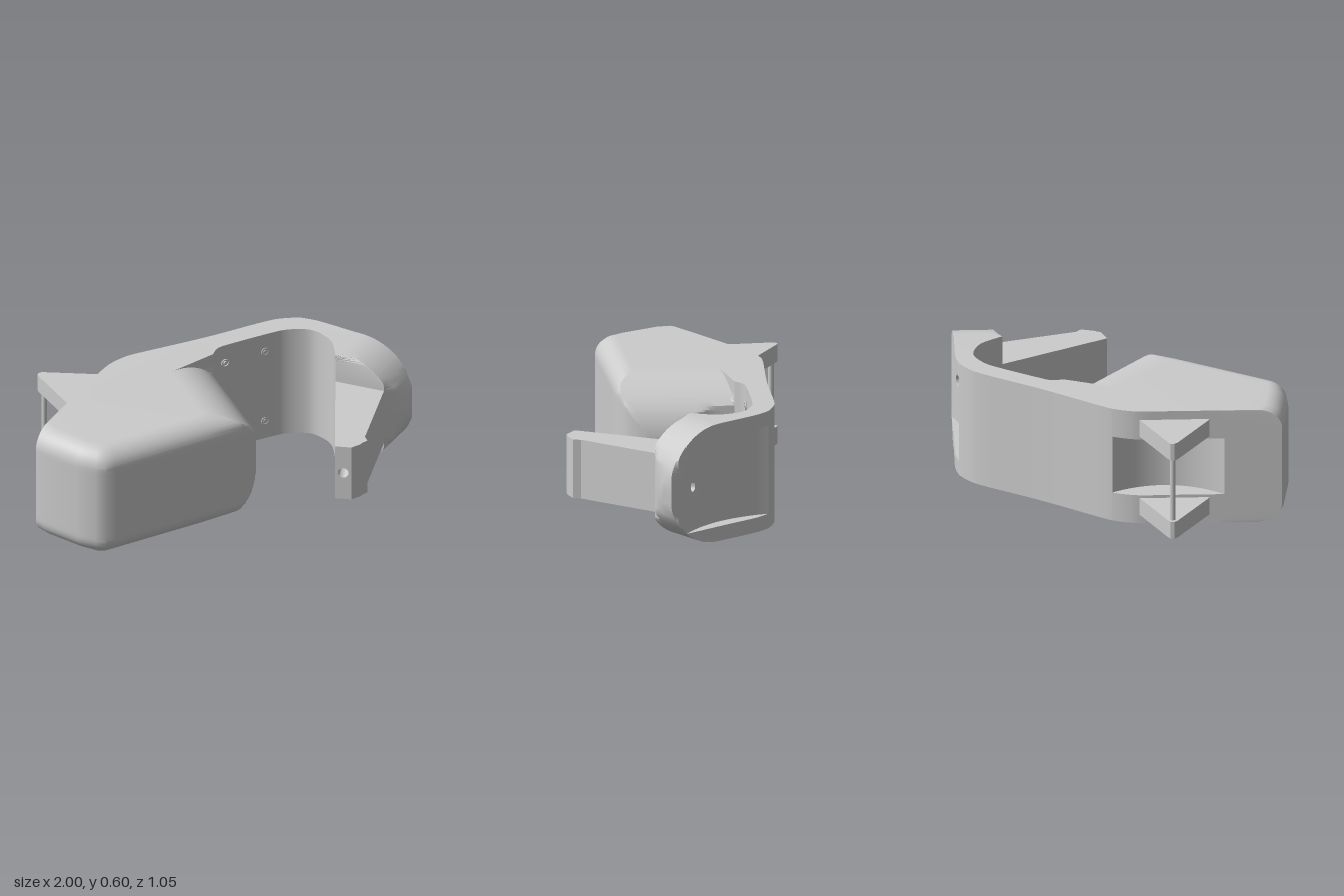
import * as THREE from 'three';
import { toCreasedNormals } from 'three/addons/utils/BufferGeometryUtils.js';

const H = 0.6, MID = 0.3, BORE = 0.027;
const material = new THREE.MeshStandardMaterial({ color: 0xcccccc });
const V = (x, z) => new THREE.Vector2(x, z);
const spline = (rows) => new THREE.SplineCurve(rows.map(([x, z]) => V(x, z)));

// Stack closed x/z outlines (clockwise seen from above) through the given heights.
function loft(name, levels, outline) {
  const rings = levels.map((y) => outline(y));
  const out = [];
  const put = (i, j) => out.push(rings[i][j].x, levels[i], rings[i][j].y);
  const n = rings[0].length;
  for (let i = 0; i < rings.length - 1; i++) {
    for (let j = 0; j < n; j++) {
      const k = (j + 1) % n;
      [[i, j], [i + 1, j], [i + 1, k], [i, j], [i + 1, k], [i, k]].forEach(([a, b]) => put(a, b));
    }
  }
  // flat caps
  for (const [i, sign] of [[0, -1], [rings.length - 1, 1]]) {
    const r = rings[i];
    for (const [a, b, c] of THREE.ShapeUtils.triangulateShape(r.slice(), [])) {
      const up = (r[b].y - r[a].y) * (r[c].x - r[a].x) - (r[b].x - r[a].x) * (r[c].y - r[a].y);
      (up * sign > 0 ? [a, b, c] : [a, c, b]).forEach((j) => put(i, j));
    }
  }
  const geo = new THREE.BufferGeometry();
  geo.setAttribute('position', new THREE.Float32BufferAttribute(out, 3));
  const mesh = new THREE.Mesh(toCreasedNormals(geo, 0.5), material);
  mesh.name = name;
  return mesh;
}

// Half width of a round bore at height y
const boreWidth = (y) => Math.sqrt(Math.max(0, BORE * BORE - (y - MID) ** 2));
const boreLevels = Array.from({ length: 13 }, (_, i) => MID - BORE * Math.cos((i / 12) * Math.PI));
// How far a half-round end of radius r has drawn back at height y (0 at the middle)
const roundOff = (y, r) => {
  const d = Math.max(0, Math.abs(y - MID) - (MID - r));
  return r - Math.sqrt(Math.max(0, r * r - d * d));
};

// Curve that turns into a hollow arc between two heights, with an optional bore
function recess(y, curve, lo, hi, sag, bore) {
  const inside = y > lo && y < hi;
  const a = curve.getPoint(0), b = curve.getPoint(1);
  const chord = b.clone().sub(a), len = chord.length();
  const inward = V(-chord.y, chord.x).divideScalar(len);
  const at = (t) => (inside
    ? a.clone().addScaledVector(chord, t).addScaledVector(inward, 4 * sag * t * (1 - t))
    : curve.getPoint(t));
  const pts = [];
  let done = !bore;
  for (let i = 0; i <= 20; i++) {
    const t = i / 20;
    if (bore && Math.abs(t - bore) < 0.06) continue;
    if (!done && t > bore) {
      const w = (boreWidth(y) * 0.75) / len, depth = w > 0 ? 0.12 : 0;
      const dir = V(-0.45, 0.89).multiplyScalar(depth);
      const p = at(bore - w), q = at(bore + w);
      pts.push(p, p.clone().add(dir), q.clone().add(dir), q);
      done = true;
    }
    pts.push(at(t));
  }
  return pts;
}

const rearCurve = spline([[-0.78, -0.13], [-0.6, -0.277], [-0.47, -0.385], [-0.4, -0.425], [-0.33, -0.448]]);
const bridgeCurve = spline([[-0.33, -0.448], [-0.25, -0.455], [0.1, -0.47], [0.42, -0.5], [0.52, -0.495], [0.6, -0.47]]);
const padCurve = spline([[0.6, -0.47], [0.66, -0.42], [0.72, -0.35], [0.8, -0.25], [0.955, -0.065]]);
const padEnd = [[0.985, -0.025], [1, 0.01], [0.97, 0.06], [0.88, 0.083], [0.82, 0.09]];
const innerCurve = spline([[0.63, -0.08], [0.66, -0.2], [0.645, -0.28], [0.6, -0.35], [0.5, -0.39],
  [0.4, -0.39], [0.2, -0.37], [0.12, -0.355], [0.075, -0.31]]);
const tipCurve = spline([[0.075, -0.31], [0.08, -0.2], [0.11, -0.09], [0.135, 0.03], [0.13, 0.13], [0.08, 0.22], [0, 0.27]]);
// x, z and the direction in which the edge rounding pulls the point
const frontEdge = [[-0.2, 0.295, 0, -1], [-0.7, 0.363, 0, -1], [-0.75, 0.367, 0.2, -1],
  [-0.8, 0.345, 0.5, -0.85], [-0.87, 0.27, 0.8, -0.6], [-0.98, 0.095, 0.9, -0.45], [-1, 0.05, 0.95, -0.75]];

// Outline of the whole body at height y
function bodyOutline(y) {
  const end = roundOff(y, 0.3), edge = roundOff(y, 0.1);
  // pad with a half-round end
  const clipPad = (p) => {
    const excess = p.x * 0.64 + p.y * 0.77 - (0.66 - end);
    return excess > 0 ? p.addScaledVector(V(0.64, 0.77), -excess) : p;
  };
  const pad = [...recess(y, padCurve, 0.075, 0.525, 0.06, 0.88), ...padEnd.map(([x, z]) => V(x, z))].map(clipPad);
  // tip of the block with a half-round end
  const limit = 0.135 - end * 1.04;
  const tip = tipCurve.getPoints(28).slice(1).map((p) => {
    if (p.x > limit) p.set(limit, Math.max(p.y, -0.31 + 0.31 * Math.max(0, 0.075 - limit)));
    p.y -= edge * Math.max(0, (p.y - 0.05) / 0.22);
    return p;
  });
  const front = frontEdge.map(([x, z, dx, dz]) => V(x + dx * edge, z + dz * edge));
  return [
    ...recess(y, rearCurve, 0.15, 0.45, 0.1),
    ...bridgeCurve.getPoints(24).slice(1, -1),
    ...pad,
    ...innerCurve.getPoints(36),
    ...tip,
    ...front,
  ];
}

// Arm outline, with the bore in its end face
function armOutline(y) {
  const w = boreWidth(y), c = V(0.445, 0.5), along = V(-0.868, -0.496);
  const dir = V(0.45, -0.89).multiplyScalar(w > 0 ? 0.12 : 0);
  const p = c.clone().addScaledVector(along, -w), q = c.clone().addScaledVector(along, w);
  return [
    ...[[0.63, -0.08], [0.68, -0.1], [0.82, 0.05], [0.82, 0.09], [0.58, 0.45], [0.577, 0.49],
      [0.55, 0.497], [0.53, 0.51], [0.48, 0.52]].map(([x, z]) => V(x, z)),
    p, p.clone().add(dir), q.clone().add(dir), q, V(0.41, 0.48),
  ];
}

export function createModel() {
  const model = new THREE.Group();
  model.name = 'linkBody';

  // body: block, bridge and pad in one piece
  const levels = Array.from({ length: 41 }, (_, i) => MID - MID * Math.cos((i / 40) * Math.PI));
  for (const s of [0.075, 0.15, 0.45, 0.525]) levels.push(s - 1e-4, s + 1e-4);
  levels.push(...boreLevels);
  const sorted = levels.sort((a, b) => a - b).filter((y, i, l) => i === 0 || y - l[i - 1] > 1e-6);
  model.add(loft('body', sorted, bodyOutline));

  // arm reaching forward from the pad
  model.add(loft('arm', [0.15, ...boreLevels, 0.45], armOutline));

  // rear lugs and the pin between them
  const lug = [[-0.772, -0.5], [-0.768, -0.52], [-0.752, -0.53], [-0.735, -0.525], [-0.45, -0.39], [-0.5, -0.34], [-0.7, -0.18], [-0.727, -0.18]];
  for (const y of [0.045, H - 0.135]) {
    model.add(loft('lug', [y, y + 0.09], () => lug.map(([x, z]) => V(x, z))));
  }
  const pin = new THREE.Mesh(new THREE.CylinderGeometry(0.014, 0.014, 0.4, 20), material);
  pin.name = 'pin';
  pin.position.set(-0.742, MID, -0.498);
  model.add(pin);

  // screws on the inner wall of the bridge
  for (const [x, z] of [[0.16, -0.362], [0.38, -0.39]]) {
    for (const y of [0.1, 0.5]) {
      const screw = new THREE.Group();
      screw.name = 'screw';
      const rim = new THREE.Mesh(new THREE.TorusGeometry(0.019, 0.004, 8, 24), material);
      const core = new THREE.Mesh(new THREE.CylinderGeometry(0.009, 0.009, 0.01, 16), material);
      core.rotation.x = Math.PI / 2;
      screw.add(rim, core);
      screw.position.set(x, y, z);
      screw.rotation.y = 0.12;
      model.add(screw);
    }
  }
  return model;
}
